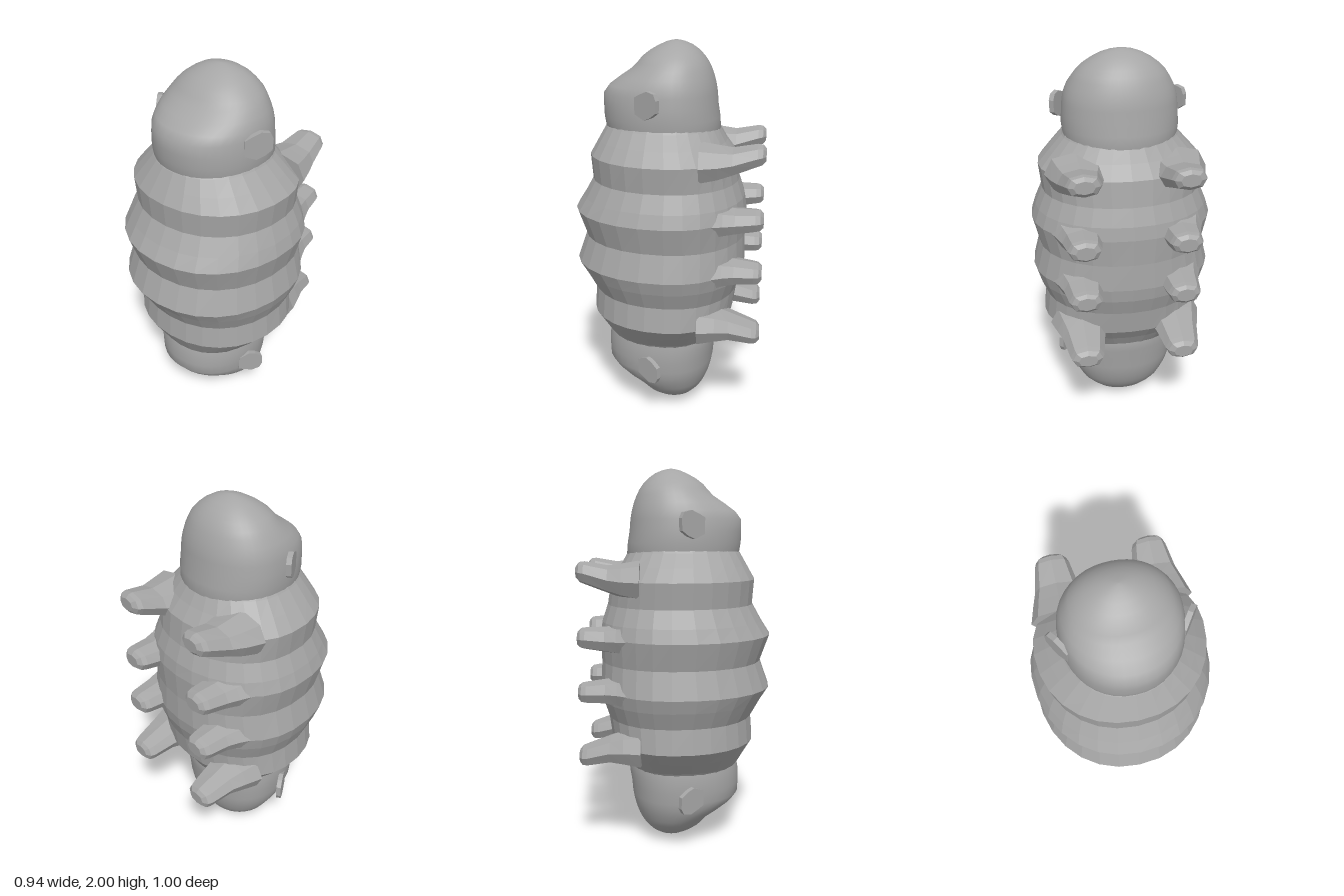
import * as THREE from 'three';

const grey = new THREE.MeshStandardMaterial({ color: 0xa6a6a6 });
grey.name = 'grey';

// Skins rings stacked along y. Each ring: [y, halfWidth, frontZ, backZ, centreZ].
function loft(rings, sides, flat, power = 1) {
  const pos = [], index = [];
  for (const [y, w, front, back, mid = (front + back) / 2] of rings) {
    for (let j = 0; j < sides; j++) {
      const a = (j / sides) * Math.PI * 2;
      const s = Math.sin(a), c = Math.cos(a);
      const x = Math.sign(s) * Math.abs(s) ** power;
      const z = Math.sign(c) * Math.abs(c) ** power;
      pos.push(x * w, y, mid + z * (c > 0 ? front - mid : mid - back));
    }
  }
  for (let i = 0; i < rings.length - 1; i++) {
    for (let j = 0; j < sides; j++) {
      const k = (j + 1) % sides;
      const a = i * sides + j, b = i * sides + k;
      index.push(a, b, b + sides, a, b + sides, a + sides);
    }
  }
  // End caps
  const end = (rings.length - 1) * sides;
  for (let j = 1; j < sides - 1; j++) {
    index.push(0, j + 1, j, end, end + j, end + j + 1);
  }
  let geo = new THREE.BufferGeometry();
  geo.setAttribute('position', new THREE.Float32BufferAttribute(pos, 3));
  geo.setIndex(index);
  if (flat) geo = geo.toNonIndexed();
  geo.computeVertexNormals();
  return geo;
}

// Reflects a ring list about the middle height, y = 1
const flip = (rings) => rings.map(([y, ...r]) => [2 - y, ...r]).reverse();

export function createModel() {
  const model = new THREE.Group();
  const add = (name, geo) => {
    const mesh = new THREE.Mesh(geo, grey);
    mesh.name = name;
    model.add(mesh);
    return mesh;
  };

  // Ridged torso
  const upperTorso = [
    [1.14, 0.472, 0.5, -0.41, -0.02],
    [1.21, 0.45, 0.455, -0.4, -0.02],
    [1.3, 0.412, 0.405, -0.37, -0.02],
    [1.43, 0.427, 0.415, -0.35, -0.02],
    [1.5, 0.365, 0.375, -0.3, -0.01],
    [1.57, 0.3, 0.335, -0.26, 0],
    [1.6, 0.28, 0.31, -0.24, 0],
  ];
  const torso = [...flip(upperTorso), [1, 0.437, 0.45, -0.405, -0.02], ...upperTorso];
  add('torso', loft(torso, 28, true, 0.94));

  // Matching heads with a bulging face at either end
  const head = [
    [1.5, 0.28, 0.31, -0.25, 0],
    [1.56, 0.29, 0.33, -0.265, 0],
    [1.62, 0.298, 0.34, -0.26, 0],
    [1.68, 0.295, 0.342, -0.25, 0],
    [1.74, 0.29, 0.34, -0.245, 0],
    [1.78, 0.282, 0.31, -0.238, 0],
    [1.82, 0.268, 0.255, -0.228, 0],
    [1.86, 0.245, 0.195, -0.213, -0.01],
    [1.89, 0.225, 0.165, -0.198, -0.02],
    [1.92, 0.195, 0.14, -0.178, -0.02],
    [1.95, 0.155, 0.1, -0.15, -0.03],
    [1.975, 0.11, 0.055, -0.115, -0.03],
    [1.99, 0.068, 0.02, -0.08, -0.03],
    [1.998, 0.03, -0.01, -0.05, -0.03],
    [2, 0.002, -0.028, -0.032, -0.03],
  ];
  add('upperHead', loft(head, 40, false, 0.95));
  add('lowerHead', loft(flip(head), 40, false, 0.95));

  // Small swept-back ear flaps on each head
  const flap = new THREE.Shape([
    [0, -0.05], [0.06, -0.075], [0.1, -0.06], [0.137, -0.035], [0.14, 0.025],
    [0.125, 0.055], [0.08, 0.065], [0.03, 0.045], [0, 0.03],
  ].map(([x, y]) => new THREE.Vector2(x, y)));
  const flapGeo = new THREE.ExtrudeGeometry(flap, { depth: 0.026, bevelEnabled: false });
  flapGeo.translate(0, 0, -0.013);
  for (const y of [1.715, 0.285]) {
    for (const side of [1, -1]) {
      const ear = add(side > 0 ? 'leftEar' : 'rightEar', flapGeo);
      ear.position.set(side * 0.262, y, 0.135);
      ear.rotation.set(y < 1 ? Math.PI : 0, side > 0 ? 0.96 : Math.PI - 0.96, 0);
      if (y < 1) ear.rotation.set(Math.PI, side > 0 ? -0.96 : Math.PI + 0.96, 0, 'YXZ');
      if (y < 1) ear.rotation.y *= -1;
    }
  }

  // Four pairs of stubby feet; rings run backwards as [reach, halfWidth, top, bottom]
  const outerFoot = [
    [0.18, 0.16, 0.09, -0.12], [0.27, 0.135, 0.075, -0.1], [0.34, 0.112, 0.065, -0.075],
    [0.46, 0.088, 0.085, -0.03], [0.485, 0.078, 0.082, -0.02], [0.502, 0.05, 0.065, 0],
  ];
  const innerFoot = [
    [0.2, 0.16, 0.11, -0.1], [0.3, 0.12, 0.075, -0.075], [0.36, 0.1, 0.065, -0.065],
    [0.46, 0.085, 0.062, -0.05], [0.485, 0.076, 0.058, -0.045], [0.502, 0.05, 0.04, -0.03],
  ];
  const upsideDown = (rings) => rings.map(([d, w, t, b]) => [d, w, -b, -t]);
  const feet = [
    [1.445, outerFoot], [1.135, innerFoot],
    [0.865, upsideDown(innerFoot)], [0.555, upsideDown(outerFoot)],
  ];
  for (const [y, rings] of feet) {
    const geo = loft(rings, 8, true, 0.85).rotateX(-Math.PI / 2);
    for (const side of [1, -1]) {
      add(side > 0 ? 'leftFoot' : 'rightFoot', geo).position.set(side * 0.25, y, 0);
    }
  }
  return model;
}
